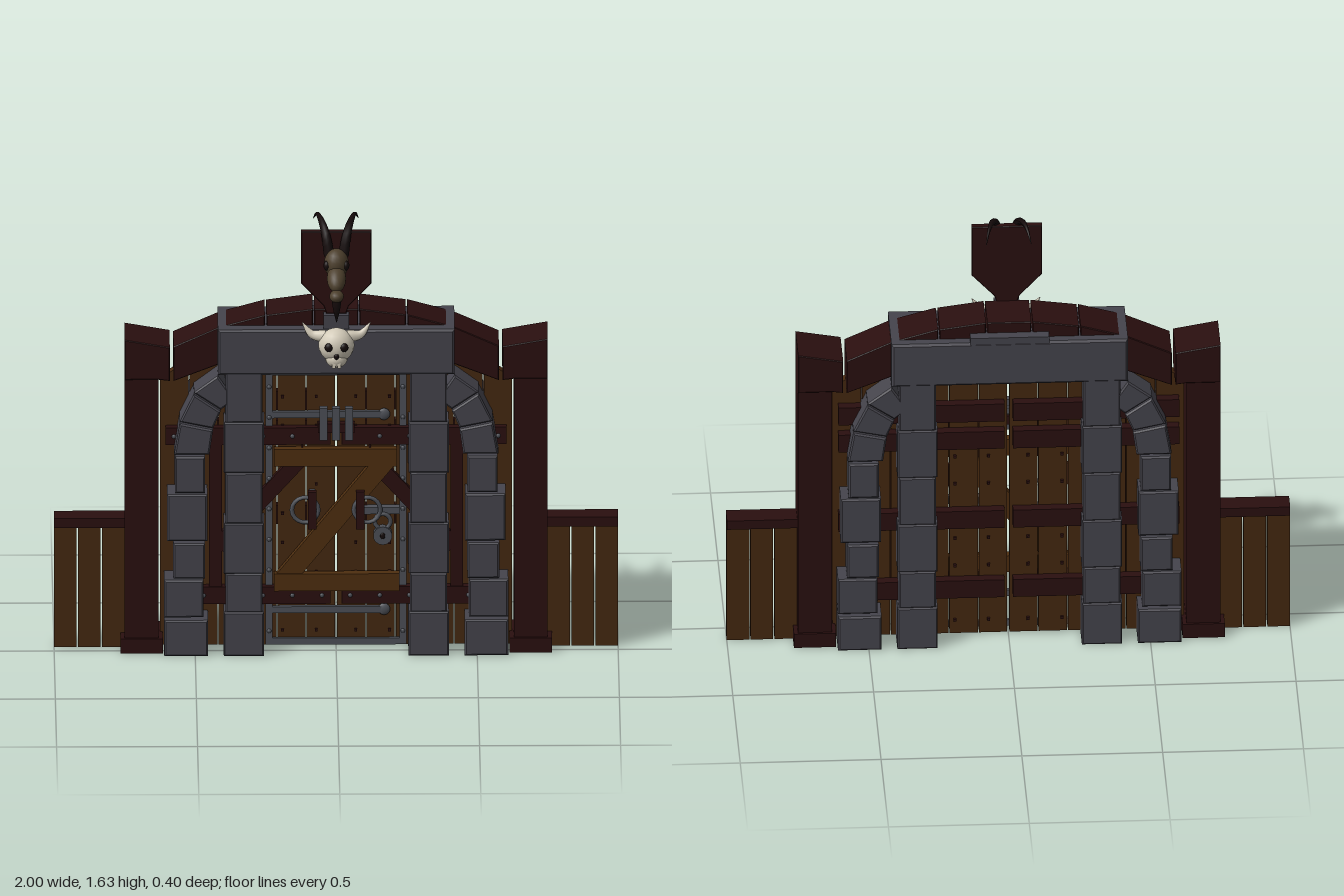
import * as THREE from 'three';

const mat = (name, color) => {
  const m = new THREE.MeshStandardMaterial({ color });
  m.name = name;
  return m;
};

export function createModel() {
  const root = new THREE.Group();
  root.name = 'fortressGate';
  const stone = mat('stone', 0x45444c), dark = mat('dark timber', 0x2a0f0f), plank = mat('plank wood', 0x452810),
    door = mat('door wood', 0x4e2e0f), iron = mat('iron', 0x4d5057), bone = mat('pale bone', 0xd2cab8),
    old = mat('old bone', 0x4c3f2c), black = mat('socket black', 0x140a0a);
  const MID = -0.065;

  const add = (name, geo, m, x = 0, y = 0, z = 0, parent = root) => {
    const mesh = new THREE.Mesh(geo, m);
    mesh.name = name;
    mesh.position.set(x, y, z);
    parent.add(mesh);
    return mesh;
  };
  // box given by its limits
  const box = (name, m, x0, x1, y0, y1, z0, z1) =>
    add(name, new THREE.BoxGeometry(Math.abs(x1 - x0), y1 - y0, z1 - z0), m, (x0 + x1) / 2, (y0 + y1) / 2, (z0 + z1) / 2);
  // polygon in the front plane, extruded from z0 to z1 with chamfered edges
  const poly = (name, m, pts, z0, z1, b = 0.006) => {
    const shape = new THREE.Shape(pts.map(p => new THREE.Vector2(p[0], p[1])));
    const geo = new THREE.ExtrudeGeometry(shape, {
      depth: z1 - z0 - 2 * b, bevelEnabled: b > 0, bevelSize: b, bevelThickness: b, bevelOffset: -b, bevelSegments: 1
    });
    return add(name, geo, m, 0, 0, z0 + b);
  };
  const rect = (s, x0, x1, y0, y1) => [[s * x0, y0], [s * x1, y0], [s * x1, y1], [s * x0, y1]];
  // straight board between two points
  const board = (name, m, a, b, w, z0, z1) => {
    const dx = b[0] - a[0], dy = b[1] - a[1];
    const mesh = add(name, new THREE.BoxGeometry(Math.hypot(dx, dy), w, z1 - z0), m, (a[0] + b[0]) / 2, (a[1] + b[1]) / 2, (z0 + z1) / 2);
    mesh.rotation.z = Math.atan2(dy, dx);
    return mesh;
  };
  // tube shrinking to a point
  const horn = (name, m, pts, r) => {
    const curve = new THREE.CatmullRomCurve3(pts.map(p => new THREE.Vector3(...p)));
    const n = 14, k = 8, geo = new THREE.TubeGeometry(curve, n, r, k), pos = geo.attributes.position, v = new THREE.Vector3();
    for (let i = 0; i <= n; i++) {
      const c = curve.getPointAt(i / n);
      for (let j = 0; j <= k; j++) {
        v.fromBufferAttribute(pos, i * (k + 1) + j).lerp(c, 0.96 * Math.pow(i / n, 1.3));
        pos.setXYZ(i * (k + 1) + j, v.x, v.y, v.z);
      }
    }
    geo.computeVertexNormals();
    return add(name, geo, m);
  };
  const ball = (name, m, x, y, z, sx, sy, sz, tilt = 0) => {
    const b = add(name, new THREE.SphereGeometry(1, 16, 12), m, x, y, z);
    b.scale.set(sx, sy, sz);
    b.rotation.x = tilt;
    return b;
  };

  // height of the timber arch above the gate
  const crown = [[0, 1.29], [0.08, 1.29], [0.25, 1.268], [0.4, 1.228], [0.58, 1.15]];
  const archTop = x => {
    const i = Math.max(1, crown.findIndex(p => p[0] >= x)), a = crown[i - 1], b = crown[i] ?? crown[4];
    return a[1] + (b[1] - a[1]) * (x - a[0]) / (b[0] - a[0]);
  };

  for (const s of [-1, 1]) {
    // side fences
    for (let i = 0; i < 4; i++) {
      const x = 0.665 + i * 0.085;
      box('fencePlank', plank, s * Math.max(x, 0.74), s * (x + 0.08), 0, 0.46, -0.09, -0.04);
    }
    box('fenceCap', dark, s * 0.74, s, 0.455, 0.49, -0.107, -0.025);

    // timber posts
    box('post', dark, s * 0.63, s * 0.75, 0, 1.06, -0.15, 0.02);
    poly('postHead', dark, [[s * 0.59, 1.025], [s * 0.63, 1.03], [s * 0.75, 1.03], [s * 0.75, 1.18], [s * 0.59, 1.152]], -0.162, 0.025, 0.003);
    box('postFoot', dark, s * 0.615, s * 0.765, 0, 0.055, -0.16, 0.03);

    // timber arch segments
    for (let i = 1; i < 4; i++) {
      const [a, b] = [crown[i], crown[i + 1]], g = 0.003;
      poly('archTimber', dark, [[s * (a[0] + g), a[1] - 0.14], [s * (b[0] - g), b[1] - 0.13], [s * (b[0] - g), b[1]], [s * (a[0] + g), a[1]]], -0.155, 0.012, 0.003);
    }

    // stacked outer stones
    const blocks = [[0.455, 0.61, 0, 0.135], [0.47, 0.61, 0.145, 0.285], [0.465, 0.578, 0.292, 0.425], [0.457, 0.6, 0.432, 0.608], [0.465, 0.572, 0.615, 0.752]];
    blocks.forEach((b, i) => poly('archStone', stone, rect(s, ...b), MID - 0.128 + (i % 2) * 0.004, MID + 0.128 - (i % 2) * 0.004));
    const outer = [[0.575, 0.757], [0.555, 0.88], [0.505, 0.99], [0.42, 1.06]];
    const inner = [[0.45, 0.757], [0.437, 0.855], [0.41, 0.925], [0.36, 0.97]];
    for (let i = 0; i < 3; i++) {
      const q = [inner[i], outer[i], outer[i + 1], inner[i + 1]].map(p => [s * p[0], p[1] + (p === outer[i] || p === inner[i] ? 0.003 : -0.003)]);
      poly('archStone', stone, q, MID - 0.126, MID + 0.126);
    }

    // inner stone pillars
    [0, 0.165, 0.31, 0.5, 0.69, 0.88].forEach((y, i, a) => {
      const w = i % 2 ? 0 : 0.006;
      poly('pillarStone', stone, rect(s, 0.262 - w, 0.393 + w, y, a[i + 1] ?? 1.07), MID - 0.127, MID + 0.127, 0.005);
    });

    // gate leaf planks following the arch
    for (let i = 0; i < 6; i++) {
      const x0 = 0.004 + i * 0.104, x1 = x0 + 0.1;
      poly('gatePlank', plank, [[s * x0, 0.005], [s * x1, 0.005], [s * x1, Math.min(1.1, archTop(Math.min(x1, 0.58)) - 0.14)], [s * x0, Math.min(1.1, archTop(x0) - 0.1)]], -0.088, -0.05, 0);
    }
    // leaf rails front and back, with studs
    for (const y of [0.2, 0.8]) {
      box('frontRail', dark, s * 0.02, s * 0.605, y - 0.032, y + 0.032, -0.05, -0.02);
      for (let i = 0; i < 6; i++) ball('railStud', iron, s * (0.05 + i * 0.105), y, -0.02, 0.008, 0.008, 0.006);
    }
    for (const y of [0.2, 0.48, 0.8, 0.91]) box('backRail', dark, s * 0.015, s * 0.605, y - 0.035, y + 0.035, -0.125, -0.088);
    box('leafStile', dark, s * 0.405, s * 0.45, 0.17, 0.83, -0.05, -0.025);
    board('leafBrace', dark, [s * 0.42, 0.38], [s * 0.1, 0.74], 0.055, -0.05, -0.026);
    // nail rows through the planks
    for (const x of [0.07, 0.19]) for (let i = 0; i < 9; i++) {
      const y = 0.06 + i * 0.11;
      box('nail', dark, s * (x - 0.005), s * (x + 0.005), y - 0.005, y + 0.005, -0.097, -0.043);
    }

    // iron edging with rivets, pull rings and handles
    box('ironEdge', iron, s * 0.225, s * 0.25, 0.01, 1.04, -0.05, -0.038);
    for (let i = 0; i < 9; i++) ball('edgeRivet', iron, s * 0.237, 0.06 + i * 0.115, -0.037, 0.008, 0.008, 0.006);
    add('pullRing', new THREE.TorusGeometry(0.047, 0.008, 6, 18), iron, s * 0.11, 0.525, -0.012);
    box('handle', dark, s * 0.07, s * 0.1, 0.46, 0.6, -0.012, 0.012);
    for (const y of [0.48, 0.58]) box('handleMount', iron, s * 0.075, s * 0.095, y - 0.01, y + 0.01, -0.05, -0.01);
  }
  poly('archTimber', dark, rect(1, -0.078, 0.078, 1.14, 1.29), -0.155, 0.012, 0.003);

  // lintel and keystones
  poly('lintel', stone, rect(1, -0.42, 0.42, 1.06, 1.23), MID - 0.13, MID + 0.13, 0.008);
  box('frontKeystone', stone, -0.045, 0.045, 1.2, 1.28, 0.005, 0.05);
  box('backKeystone', stone, -0.14, 0.14, 1.2, 1.25, -0.194, -0.14);

  // cross boards and diagonal of the wicket
  box('wicketTopRail', door, -0.22, 0.215, 0.69, 0.755, -0.04, -0.008);
  box('wicketBottomRail', door, -0.22, 0.225, 0.22, 0.285, -0.04, -0.008);
  poly('wicketDiagonal', door, [[-0.21, 0.285], [-0.12, 0.285], [0.205, 0.69], [0.115, 0.69]], -0.042, -0.012, 0);

  // iron straps, bars and centre latch
  for (const y of [0.14, 0.875]) {
    box('hingeStrap', iron, -0.225, 0.17, y - 0.012, y + 0.012, -0.05, -0.034);
    ball('strapEnd', iron, 0.17, y, -0.042, 0.022, 0.022, 0.01);
  }
  for (const y of [0.02, 1.035]) box('ironBar', iron, -0.25, 0.25, y - 0.012, y + 0.012, -0.05, -0.038);
  for (const x of [-0.045, 0, 0.045]) box('latchBar', iron, x - 0.014, x + 0.014, 0.79, 0.91, -0.03, -0.004);
  box('latchPlate', dark, -0.065, 0.065, 0.815, 0.85, -0.04, -0.01);
  // padlock
  box('hasp', iron, 0.1, 0.225, 0.505, 0.53, -0.05, -0.02);
  add('shackle', new THREE.TorusGeometry(0.028, 0.008, 6, 16), iron, 0.165, 0.48, -0.015);
  const lock = add('padlock', new THREE.CylinderGeometry(0.034, 0.034, 0.03, 14), iron, 0.165, 0.43, -0.015);
  lock.rotation.x = Math.PI / 2;
  ball('keyhole', black, 0.165, 0.43, 0, 0.009, 0.012, 0.004);

  // pale horned skull on the lintel
  ball('skull', bone, 0, 1.185, 0.095, 0.064, 0.063, 0.052);
  ball('skullJaw', bone, 0, 1.14, 0.105, 0.04, 0.035, 0.038);
  ball('skullNose', black, 0, 1.158, 0.141, 0.009, 0.012, 0.008);
  for (const s of [-1, 1]) {
    ball('skullEye', black, s * 0.026, 1.19, 0.136, 0.016, 0.017, 0.012);
    horn('skullHorn', bone, [[s * 0.04, 1.215, 0.085], [s * 0.085, 1.22, 0.08], [s * 0.122, 1.265, 0.075]], 0.024);
    box('skullTooth', bone, s * 0.004, s * 0.016, 1.112, 1.132, 0.125, 0.14);
  }

  // trophy shield with goat skull
  poly('shield', dark, [[-0.035, 1.28], [0.035, 1.28], [0.045, 1.31], [0.125, 1.395], [0.125, 1.59], [-0.125, 1.59], [-0.125, 1.395], [-0.045, 1.31]], 0.006, 0.034, 0.003);
  ball('goatHead', old, 0, 1.485, 0.075, 0.044, 0.055, 0.045);
  ball('goatSnout', old, 0, 1.445, 0.12, 0.034, 0.033, 0.058, 0.6);
  ball('goatNose', old, 0, 1.396, 0.17, 0.026, 0.022, 0.03);
  horn('goatBeard', black, [[0, 1.39, 0.172], [0, 1.35, 0.178], [0, 1.295, 0.165]], 0.018);
  for (const s of [-1, 1]) {
    ball('goatEye', black, s * 0.034, 1.485, 0.095, 0.012, 0.018, 0.015);
    horn('goatHorn', black, [[s * 0.025, 1.51, 0.06], [s * 0.038, 1.585, 0.04], [s * 0.055, 1.62, -0.02], [s * 0.068, 1.62, -0.075], [s * 0.08, 1.585, -0.122]], 0.019);
  }
  return root;
}
